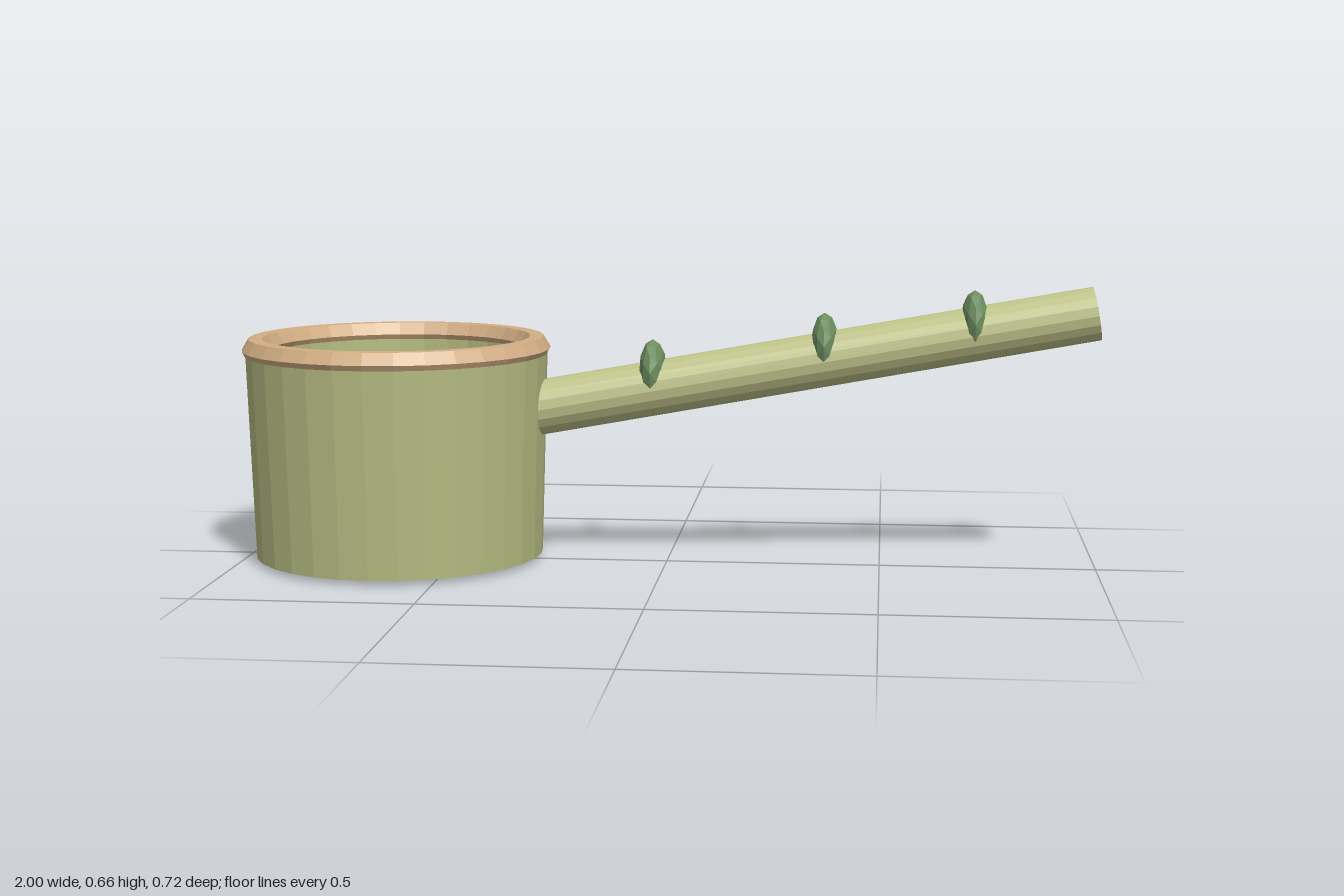
import * as THREE from 'three';

const CUP_X = -0.64;
const HANDLE_START = new THREE.Vector3(-0.455, 0.335, 0);
const HANDLE_END = new THREE.Vector3(0.987, 0.597, 0);

function addMesh(parent, name, geometry, color) {
  const material = new THREE.MeshStandardMaterial({ color, flatShading: true });
  const mesh = new THREE.Mesh(geometry, material);
  mesh.name = name;
  parent.add(mesh);
  return mesh;
}

export function createModel() {
  const model = new THREE.Group();
  model.name = 'bambooLadle';

  // Hollow cup: bevelled base, slightly flared wall, inner wall and floor
  const profile = [
    [0, 0], [0.285, 0], [0.34, 0.012], [0.355, 0.495],
    [0.305, 0.495], [0.292, 0.04], [0, 0.03],
  ].map(([r, y]) => new THREE.Vector2(r, y));
  const cup = addMesh(model, 'cup', new THREE.LatheGeometry(profile, 32), 0xb4ba80);
  cup.position.x = CUP_X;

  // Six-sided ring around the lip
  const rimGeometry = new THREE.TorusGeometry(0.33, 0.032, 6, 32).rotateX(Math.PI / 2);
  const rim = addMesh(model, 'rim', rimGeometry, 0xd2ae84);
  rim.position.set(CUP_X, 0.5, 0);

  // Sloping handle, its inner end passing through the cup wall
  const axis = HANDLE_END.clone().sub(HANDLE_START);
  const handle = addMesh(model, 'handle',
    new THREE.CylinderGeometry(0.062, 0.065, axis.length(), 18), 0xc0c48a);
  handle.position.copy(HANDLE_START).lerp(HANDLE_END, 0.5);
  handle.quaternion.setFromUnitVectors(new THREE.Vector3(0, 1, 0), axis.normalize());

  // Flattened growth nodes sitting high on the handle
  const nodes = new THREE.Group();
  nodes.name = 'handleNodes';
  model.add(nodes);
  for (const [x, y] of [[-0.033, 0.454], [0.367, 0.52], [0.71, 0.575]]) {
    const node = addMesh(nodes, 'handleNode', new THREE.IcosahedronGeometry(0.073, 1), 0x6f9062);
    node.scale.x = 0.44;
    node.position.set(x, y, 0);
  }

  return model;
}
